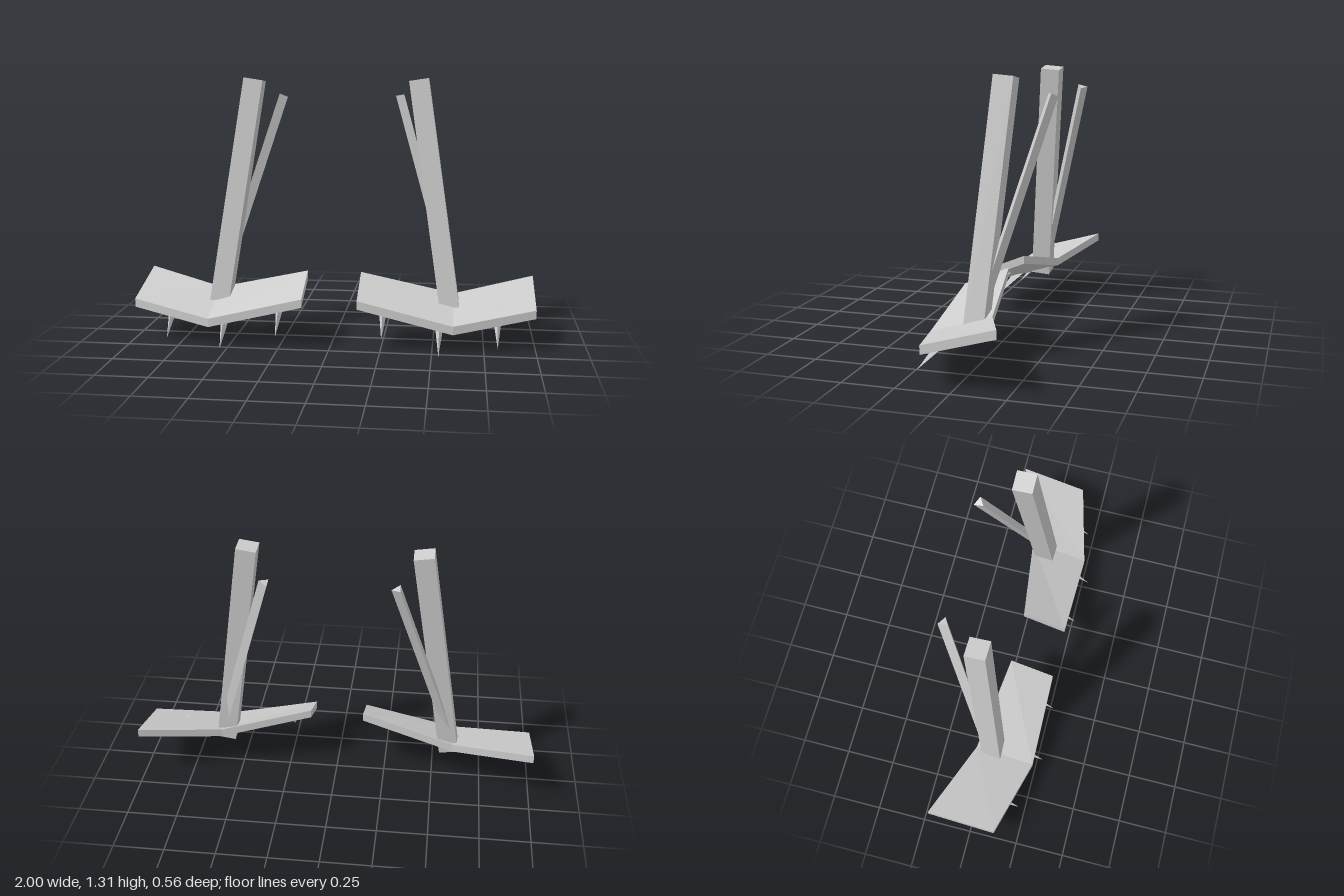
import * as THREE from 'three';

const steel = new THREE.MeshStandardMaterial({ color: 0xcccccc });
steel.name = 'light grey';

// Hard-edged mesh from any geometry
function faceted(name, geometry) {
  const g = geometry.index ? geometry.toNonIndexed() : geometry;
  g.computeVertexNormals();
  const mesh = new THREE.Mesh(g, steel);
  mesh.name = name;
  return mesh;
}

// Stretches a bar (built along y) from one point to another
function bar(name, from, to, makeGeometry) {
  const a = new THREE.Vector3(...from), b = new THREE.Vector3(...to);
  const dir = b.clone().sub(a);
  const mesh = faceted(name, makeGeometry(dir.length()));
  mesh.position.copy(a).add(b).multiplyScalar(0.5);
  mesh.quaternion.setFromUnitVectors(new THREE.Vector3(0, 1, 0), dir.normalize());
  return mesh;
}

// Bent foot plate: [x, front y, front z, back y, back z] of the top face
const plateSections = [
  [0.135, 0.25, 0.23, 0.345, 0.003],
  [0.6, 0.14, 0.237, 0.233, -0.062],
  [1.0, 0.205, 0.132, 0.302, -0.208],
];
const plateThickness = 0.042;

function plateGeometry(side) {
  const rings = plateSections
    .map(([x, fy, fz, by, bz]) => [
      [side * x, fy, fz],
      [side * x, by, bz],
      [side * x, by - plateThickness, bz],
      [side * x, fy - plateThickness, fz],
    ])
    .sort((p, q) => p[0][0] - q[0][0]);
  const positions = [];
  const quad = (a, b, c, d) => positions.push(...a, ...b, ...c, ...a, ...c, ...d);
  for (let k = 0; k < rings.length - 1; k++) {
    for (let i = 0; i < 4; i++) {
      const j = (i + 1) % 4;
      quad(rings[k][i], rings[k + 1][i], rings[k + 1][j], rings[k][j]);
    }
  }
  quad(...rings[0]);
  quad(...[...rings[rings.length - 1]].reverse());
  const g = new THREE.BufferGeometry();
  g.setAttribute('position', new THREE.Float32BufferAttribute(positions, 3));
  return g;
}

// Three-sided spike leaning forward and down, placed by its tip
const spikeTips = [[0.258, 0.073, 0.268], [0.533, 0.003, 0.281], [0.815, 0.03, 0.218]];
const spikeLength = 0.213, spikeLean = THREE.MathUtils.degToRad(43.5);

function spike(x, y, z) {
  const g = new THREE.ConeGeometry(0.03, spikeLength, 3);
  g.translate(0, -spikeLength / 2, 0);
  g.rotateY(Math.PI);
  g.rotateX(Math.PI - spikeLean);
  const mesh = faceted('spike', g);
  mesh.position.set(x, y, z);
  return mesh;
}

function foot(side) {
  const group = new THREE.Group();
  group.name = side > 0 ? 'leftFoot' : 'rightFoot';
  group.add(faceted('footPlate', plateGeometry(side)));

  // Square main post, its lower end just passing through the plate
  group.add(bar('post', [side * 0.583, 0.163, 0.022], [side * 0.412, 1.302, -0.071],
    (len) => new THREE.BoxGeometry(0.097, len, 0.097)));

  // Thin three-sided strut leaning back from the foot of the post
  group.add(bar('strut', [side * 0.594, 0.235, 0.004], [side * 0.302, 1.214, -0.259],
    (len) => new THREE.CylinderGeometry(0.028, 0.028, len, 3).rotateY(Math.PI / 2)));

  for (const [x, y, z] of spikeTips) group.add(spike(side * x, y, z));
  return group;
}

export function createModel() {
  const model = new THREE.Group();
  model.name = 'spikedFeet';
  for (const side of [1, -1]) model.add(foot(side));
  return model;
}
